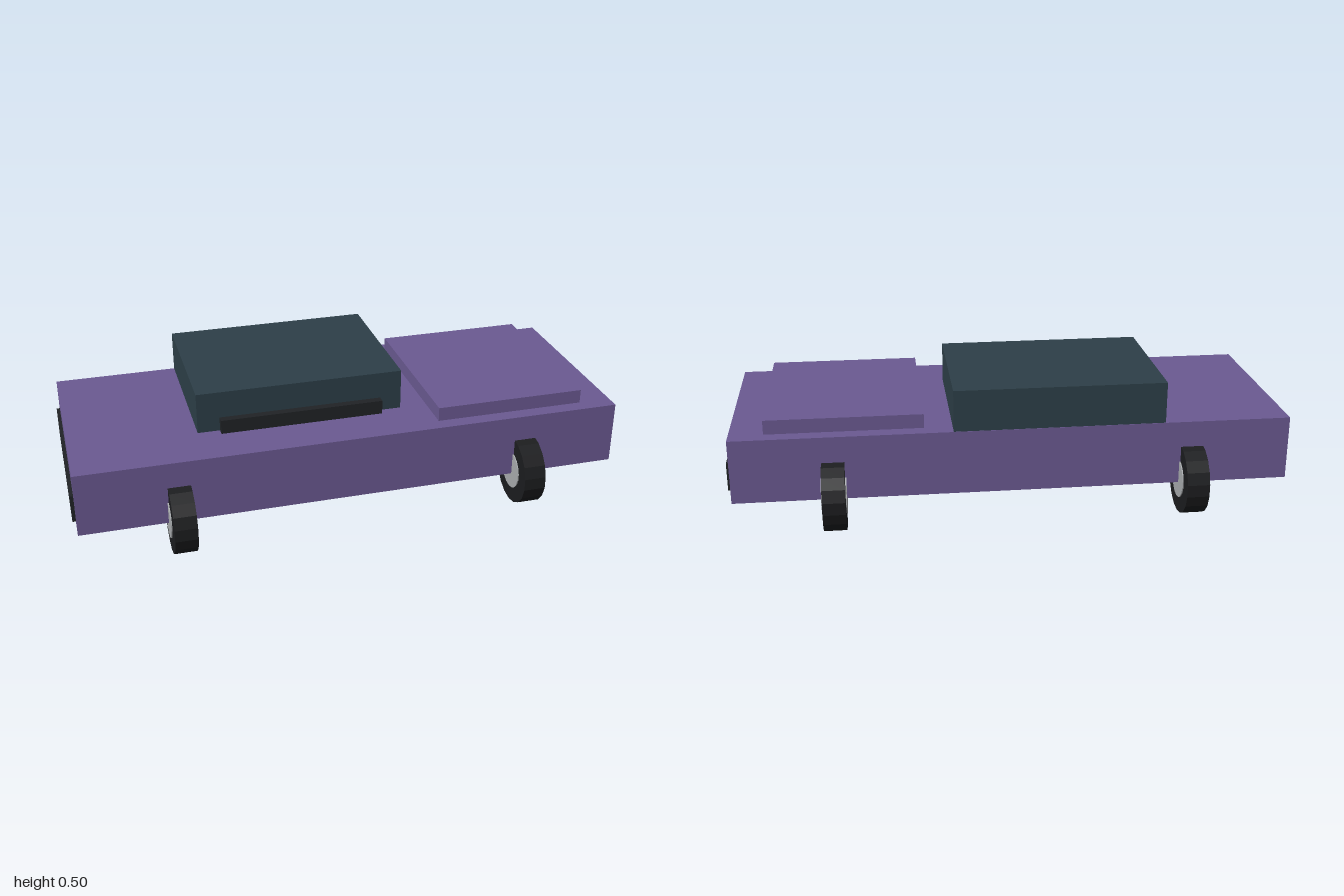
import * as THREE from 'three';

const paint = new THREE.MeshStandardMaterial({ color: 0x6b5a92 });
const glass = new THREE.MeshStandardMaterial({ color: 0x2d3f48 });
const dark = new THREE.MeshStandardMaterial({ color: 0x202326 });
const rubber = new THREE.MeshStandardMaterial({ color: 0x1c1d1f, flatShading: true });
const metal = new THREE.MeshStandardMaterial({ color: 0xaaadb0, flatShading: true });

// Box given by its extents on each axis
function box(name, material, [x0, x1], [y0, y1], [z0, z1]) {
  const mesh = new THREE.Mesh(new THREE.BoxGeometry(x1 - x0, y1 - y0, z1 - z0), material);
  mesh.position.set((x0 + x1) / 2, (y0 + y1) / 2, (z0 + z1) / 2);
  mesh.name = name;
  return mesh;
}

// Disc with its axis along x and a corner pointing straight down
function disc(name, material, radius, width) {
  const geometry = new THREE.CylinderGeometry(radius, radius, width, 18);
  geometry.rotateZ(Math.PI / 2).rotateX(Math.PI / 2);
  const mesh = new THREE.Mesh(geometry, material);
  mesh.name = name;
  return mesh;
}

function wheel(name, x, z) {
  const group = new THREE.Group();
  group.name = name;
  group.add(disc('tire', rubber, 0.127, 0.08), disc('hub', metal, 0.07, 0.088));
  group.position.set(x, 0.127, z);
  return group;
}

export function createModel() {
  const car = new THREE.Group();
  car.name = 'car';

  // Body, cabin and raised deck panel
  car.add(
    box('body', paint, [-0.988, 0.988], [0.115, 0.346], [-0.372, 0.372]),
    box('cabin', glass, [-0.535, 0.215], [0.346, 0.495], [-0.37, 0.182]),
    box('deckPanel', paint, [0.315, 0.868], [0.346, 0.397], [-0.32, 0.32]),
    box('cabinTrim', dark, [-0.455, 0.137], [0.346, 0.397], [0.17, 0.21])
  );

  // Dark panels on both ends
  car.add(
    box('leftEndPanel', dark, [0.97, 1], [0.15, 0.25], [-0.335, 0.335]),
    box('rightEndPanel', dark, [-1, -0.97], [0.15, 0.25], [-0.335, 0.335])
  );

  // Four wheels
  for (const x of [-0.635, 0.635]) {
    for (const z of [-0.36, 0.36]) {
      car.add(wheel((z > 0 ? 'front' : 'back') + (x > 0 ? 'Left' : 'Right') + 'Wheel', x, z));
    }
  }
  return car;
}
